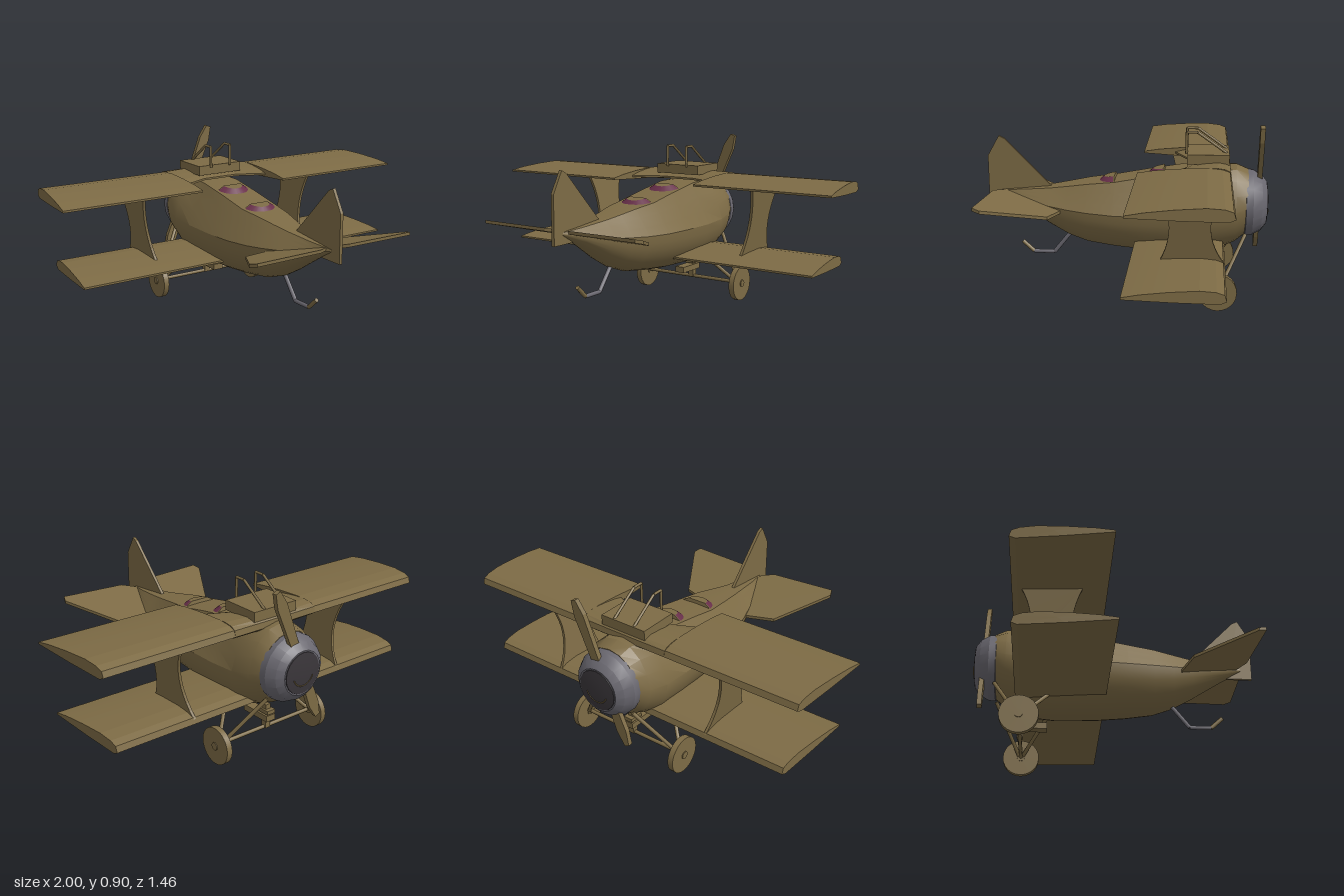
import * as THREE from 'three';
import { toCreasedNormals } from 'three/addons/utils/BufferGeometryUtils.js';

const V = (x, y, z) => new THREE.Vector3(x, y, z);
const mat = (name, color) => Object.assign(new THREE.MeshStandardMaterial({ color }), { name });

// Closed skin through rings of equal length, capped at both ends
function loft(rings, crease) {
  const n = rings[0].length, pos = [], idx = [];
  rings.forEach(r => r.forEach(p => pos.push(p.x, p.y, p.z)));
  for (let i = 0; i < rings.length - 1; i++) for (let j = 0; j < n; j++) {
    const a = i * n + j, b = i * n + (j + 1) % n;
    idx.push(a, b, b + n, a, b + n, a + n);
  }
  [0, rings.length - 1].forEach((i, end) => {
    const c = rings[i].reduce((s, p) => s.add(p), V(0, 0, 0)).divideScalar(n);
    const k = pos.length / 3;
    pos.push(c.x, c.y, c.z);
    for (let j = 0; j < n; j++) {
      const a = i * n + j, b = i * n + (j + 1) % n;
      idx.push(k, end ? a : b, end ? b : a);
    }
  });
  const g = new THREE.BufferGeometry();
  g.setAttribute('position', new THREE.Float32BufferAttribute(pos, 3));
  g.setIndex(idx);
  return toCreasedNormals(g, crease);
}

// Flat plate of a 2D outline, centred on its thickness
function plate(points, depth) {
  const shape = new THREE.Shape(points.map(p => new THREE.Vector2(p[0], p[1])));
  return new THREE.ExtrudeGeometry(shape, { depth, bevelEnabled: false }).translate(0, 0, -depth / 2);
}

// Plate whose outline is given as (z, y), standing in the plane x = 0
const sidePlate = (points, depth) =>
  plate(points.map(([z, y]) => [-z, y]), depth).rotateY(Math.PI / 2);

export function createModel() {
  const model = new THREE.Group();
  model.name = 'biplane';
  const olive = mat('olive', 0x7d6b45), grey = mat('cowlGrey', 0x69676f);
  const dark = mat('darkGrey', 0x3a363a), plum = mat('plum', 0x672f49);
  const add = (name, geo, m = olive) => {
    const mesh = new THREE.Mesh(geo, m);
    mesh.name = name;
    model.add(mesh);
    return mesh;
  };
  const rod = (name, a, b, r, m = olive) => {
    const mesh = add(name, new THREE.CylinderGeometry(r, r, a.distanceTo(b), 8), m);
    mesh.position.copy(a).lerp(b, 0.5);
    mesh.quaternion.setFromUnitVectors(V(0, 1, 0), b.clone().sub(a).normalize());
  };
  const box = (name, w, h, d, x, y, z) => add(name, new THREE.BoxGeometry(w, h, d).translate(x, y, z));

  // Fuselage: z, half width, waist y, top y, bottom y, deck half width, roundness
  const stations = [
    [-0.62, 0.165, 0.49, 0.655, 0.325, 0.08, 1], [-0.56, 0.19, 0.47, 0.68, 0.275, 0.09, 0.9],
    [-0.45, 0.205, 0.45, 0.67, 0.222, 0.1, 0.5], [-0.3, 0.205, 0.44, 0.655, 0.207, 0.1, 0],
    [-0.1, 0.205, 0.44, 0.622, 0.215, 0.1, 0], [0.06, 0.193, 0.44, 0.592, 0.23, 0.1, 0],
    [0.2, 0.17, 0.445, 0.575, 0.25, 0.085, 0], [0.3, 0.145, 0.452, 0.558, 0.285, 0.068, 0],
    [0.4, 0.115, 0.462, 0.542, 0.34, 0.05, 0], [0.55, 0.06, 0.487, 0.527, 0.435, 0.03, 0],
    [0.67, 0.01, 0.509, 0.517, 0.502, 0.008, 0],
  ];
  add('fuselage', loft(stations.map(([z, w, yc, top, bot, dw, round]) => {
    const ring = [];
    for (let k = 0; k <= 8; k++) {
      const a = k * Math.PI / 8, s = Math.sign(4 - k), t = Math.min(k, 8 - k, 3) / 3;
      const flat = k === 4 ? V(0, top + 0.003, z) : V(s * (w + (dw - w) * t), yc + (top - yc) * t, z);
      ring.push(flat.lerp(V(w * Math.cos(a), yc + (top - yc) * Math.sin(a), z), round));
    }
    for (let k = 1; k < 16; k++) {
      const a = Math.PI + k * Math.PI / 16;
      ring.push(V(w * Math.cos(a), yc + (yc - bot) * Math.sin(a), z));
    }
    return ring;
  }), 0.42));

  // Engine cowl and its dark face
  const lathe = pts => toCreasedNormals(new THREE.LatheGeometry(
    pts.map(p => new THREE.Vector2(p[0], p[1])), 20).rotateX(-Math.PI / 2).translate(0, 0.48, 0), 0.4);
  add('engineCowl', lathe([[0, 0.59], [0.155, 0.595], [0.172, 0.61], [0.17, 0.645], [0.145, 0.69], [0.112, 0.716], [0.1, 0.716]]), grey);
  add('engineFace', lathe([[0.112, 0.7], [0.104, 0.719], [0.06, 0.724], [0, 0.725]]), dark);
  add('engineTrim', new THREE.TorusGeometry(0.062, 0.003, 4, 16, Math.PI * 0.8)
    .rotateZ(Math.PI * 1.1).translate(0, 0.48, -0.724));

  // Propeller
  const blade = [[0.022, 0], [0.03, 0.3], [0.014, 0.375], [-0.014, 0.375], [-0.03, 0.3], [-0.022, 0]];
  [0, Math.PI].forEach(turn => add('propellerBlade',
    plate(blade, 0.024).rotateZ(turn - 0.39).translate(0, 0.55, -0.677)));

  // Wings: section as (fraction of chord, height)
  const airfoil = [[0, 0.012], [0.02, 0.042], [0.1, 0.055], [0.26, 0.062], [0.55, 0.056], [0.82, 0.045],
    [1, 0.032], [1, 0.022], [0.5, 0.008], [0.06, 0]];
  const section = (x, y, lead, trail, skew = 0) => airfoil.map(([t, h]) =>
    V(x + skew * t, y + h, lead + (trail - lead) * t));
  for (const s of [-1, 1]) {
    const side = s > 0 ? 'left' : 'right';
    const panel = (x0, x1, y, lead, trail, skew) => {
      const rings = [section(s * x0, y, lead, trail), section(s * x1, y, lead, trail, s * skew)];
      return loft(s > 0 ? rings : rings.reverse(), 0.1);
    };
    add(side + 'UpperWing', panel(0.25, 0.95, 0.65, -0.53, -0.07, 0.05));
    add(side + 'LowerWing', panel(0.1, 0.885, 0.265, -0.505, -0.05, 0.04));

    // Waisted strut joining the wings
    const outline = new THREE.Shape();
    outline.moveTo(0.19, 0.3);
    outline.quadraticCurveTo(0.285, 0.48, 0.19, 0.675);
    outline.lineTo(0.49, 0.675);
    outline.quadraticCurveTo(0.37, 0.48, 0.5, 0.3);
    const strut = new THREE.ExtrudeGeometry(outline, { depth: 0.014, bevelEnabled: false, curveSegments: 10 })
      .translate(0, -0.3, -0.007).rotateY(Math.PI / 2).rotateZ(-s * 0.165);
    add(side + 'WingStrut', strut.translate(s * 0.46, 0.3, 0));

    // Tailplane half, sloping up to the rear
    const half = [[0, 0.335], [0.135, 0.335], [0.285, 0.375], [0.46, 0.67], [0.445, 0.71], [0.085, 0.69], [0, 0.63]];
    const tail = plate(half.map(([x, z]) => [s * x, -(z - 0.335) * 1.03]), 0.016).rotateX(-Math.PI / 2 - 0.245);
    const p = tail.attributes.position;
    for (let i = 0; i < p.count; i++) p.setY(i, Math.abs(p.getY(i)));
    tail.dispose();
    const flat = plate(half.map(([x, z]) => [s * x, -z]), 0.016).rotateX(-Math.PI / 2);
    const q = flat.attributes.position;
    for (let i = 0; i < q.count; i++) q.setY(i, q.getY(i) + 0.437 + (q.getZ(i) - 0.335) * 0.25);
    flat.computeVertexNormals();
    add(side + 'Tailplane', flat);

    // Wheel and undercarriage legs
    add(side + 'Wheel', new THREE.CylinderGeometry(0.095, 0.095, 0.03, 24).rotateZ(Math.PI / 2)
      .translate(s * 0.308, 0.097, -0.475));
    add(side + 'WheelHub', new THREE.CylinderGeometry(0.02, 0.02, 0.04, 12).rotateZ(Math.PI / 2)
      .translate(s * 0.308, 0.097, -0.475));
    rod(side + 'RearLeg', V(s * 0.13, 0.29, -0.33), V(s * 0.29, 0.105, -0.465), 0.01);
    rod(side + 'FrontLeg', V(s * 0.12, 0.34, -0.61), V(s * 0.29, 0.105, -0.485), 0.01);

    // Bent handle on the wing-top box
    const bends = [V(s * 0.06, 0.74, -0.305), V(s * 0.06, 0.85, -0.305), V(s * 0.06, 0.85, -0.36), V(s * 0.06, 0.745, -0.51)];
    for (let i = 0; i < 3; i++) rod(side + 'TopFrame', bends[i], bends[i + 1], 0.007);
  }

  // Upper wing centre with cut-back trailing edge, and the box on it
  add('upperWingCentre', loft([[-0.25, -0.24], [-0.1, -0.31], [0.1, -0.31], [0.25, -0.24]]
    .map(([x, trail]) => section(x, 0.65, -0.53, trail)), 0.1));
  box('wingTopBox', 0.26, 0.05, 0.21, 0, 0.725, -0.415);

  // Axle and the fitting between the wheels
  rod('axle', V(-0.3, 0.1, -0.475), V(0.3, 0.1, -0.475), 0.01);
  box('axleFitting', 0.055, 0.032, 0.17, 0, 0.157, -0.425);
  box('axleFittingTop', 0.05, 0.02, 0.075, 0, 0.19, -0.475);
  box('axleFittingPost', 0.03, 0.13, 0.03, 0, 0.16, -0.475);

  // Cockpit collars: a sloping rear half ring with a plain core
  [[0.065, 0.582], [-0.19, 0.628]].forEach(([z, y]) => {
    const place = g => g.rotateX(0.16).translate(0, y, z);
    add('cockpitCollar', place(new THREE.CylinderGeometry(0.052, 0.1, 0.03, 12, 1, true, -Math.PI / 2, Math.PI)
      .translate(0, 0.015, 0)), plum);
    add('cockpitTop', place(new THREE.CircleGeometry(0.052, 12, Math.PI, Math.PI)
      .rotateX(-Math.PI / 2).translate(0, 0.03, 0)));
    add('cockpitFront', place(plate([[-0.1, 0], [0.1, 0], [0.052, 0.03], [-0.052, 0.03]], 0.006)
      .translate(0, 0, -0.003)));
  });

  // Fin
  add('fin', sidePlate([[0.73, 0.46], [0.73, 0.7], [0.67, 0.805], [0.64, 0.79], [0.43, 0.575], [0.39, 0.535], [0.6, 0.46]], 0.016));

  // Tail skid
  const skid = [V(0, 0.31, 0.285), V(0, 0.18, 0.39), V(0, 0.18, 0.5), V(0, 0.235, 0.56)];
  rod('skidLeg', skid[0], skid[1], 0.011, grey);
  rod('skidFoot', skid[1], skid[2], 0.011, grey);
  rod('skidTip', skid[2], skid[3], 0.011);

  return model;
}
